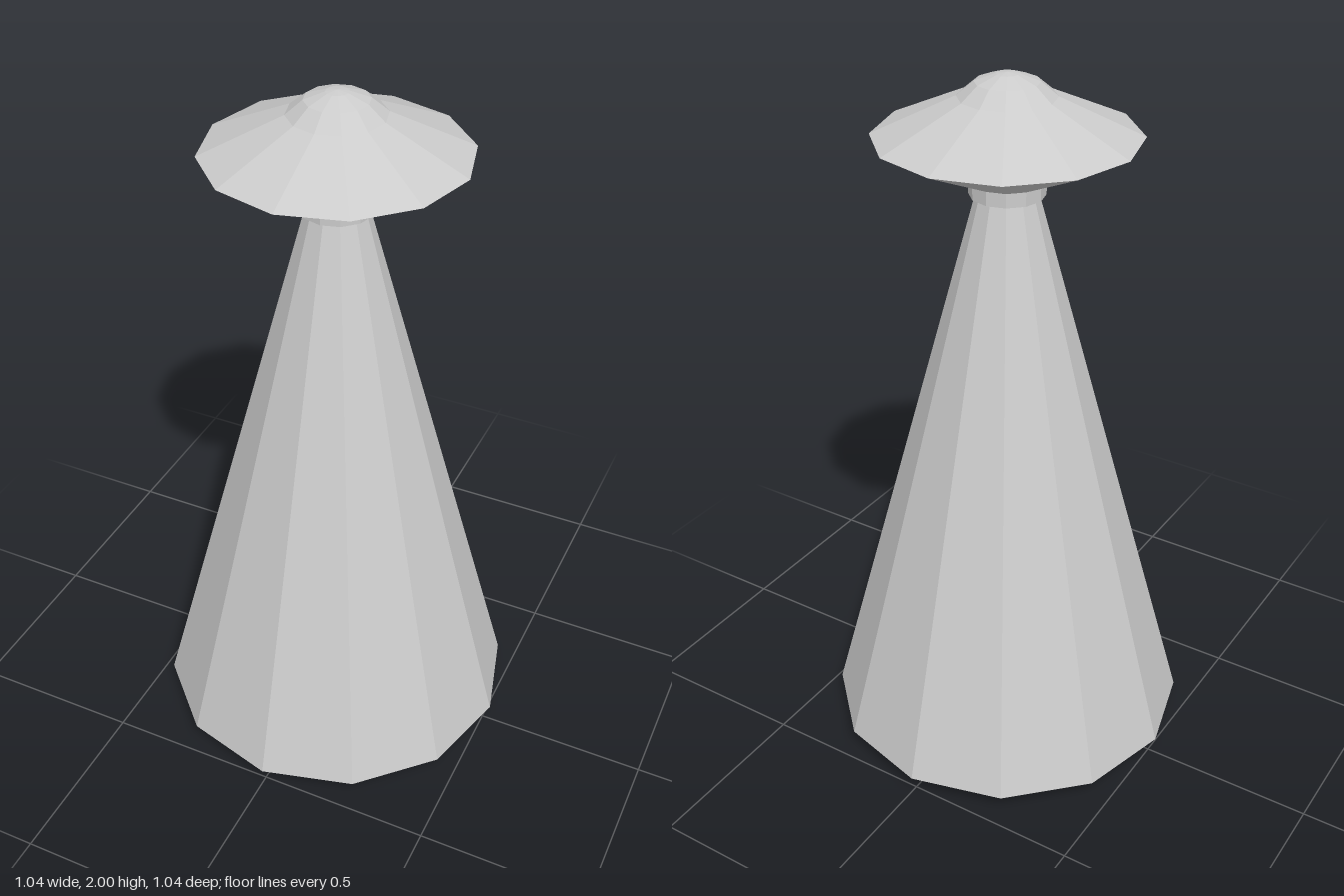
import * as THREE from 'three';

const SIDES = 12;

export function createModel() {
  const group = new THREE.Group();
  const material = new THREE.MeshStandardMaterial({ color: 0xcccccc, flatShading: true });

  // Faceted solid of revolution; profile runs bottom to top as [radius, height]
  function turned(name, profile) {
    const points = profile.map(([r, y]) => new THREE.Vector2(r, y));
    const mesh = new THREE.Mesh(new THREE.LatheGeometry(points, SIDES), material);
    mesh.name = name;
    group.add(mesh);
  }

  // Tapering body with a chamfered foot
  turned('body', [[0, 0], [0.47, 0], [0.522, 0.05], [0.083, 1.68], [0, 1.68]]);

  // Narrow neck ring
  turned('collar', [[0, 1.677], [0.102, 1.677], [0.102, 1.717], [0, 1.717]]);

  // Wide saucer with a small dome on top
  turned('saucer', [
    [0, 1.716], [0.102, 1.716], [0.14, 1.734], [0.354, 1.835],
    [0.13, 1.938], [0.085, 1.976], [0.03, 1.996], [0, 2],
  ]);

  return group;
}
